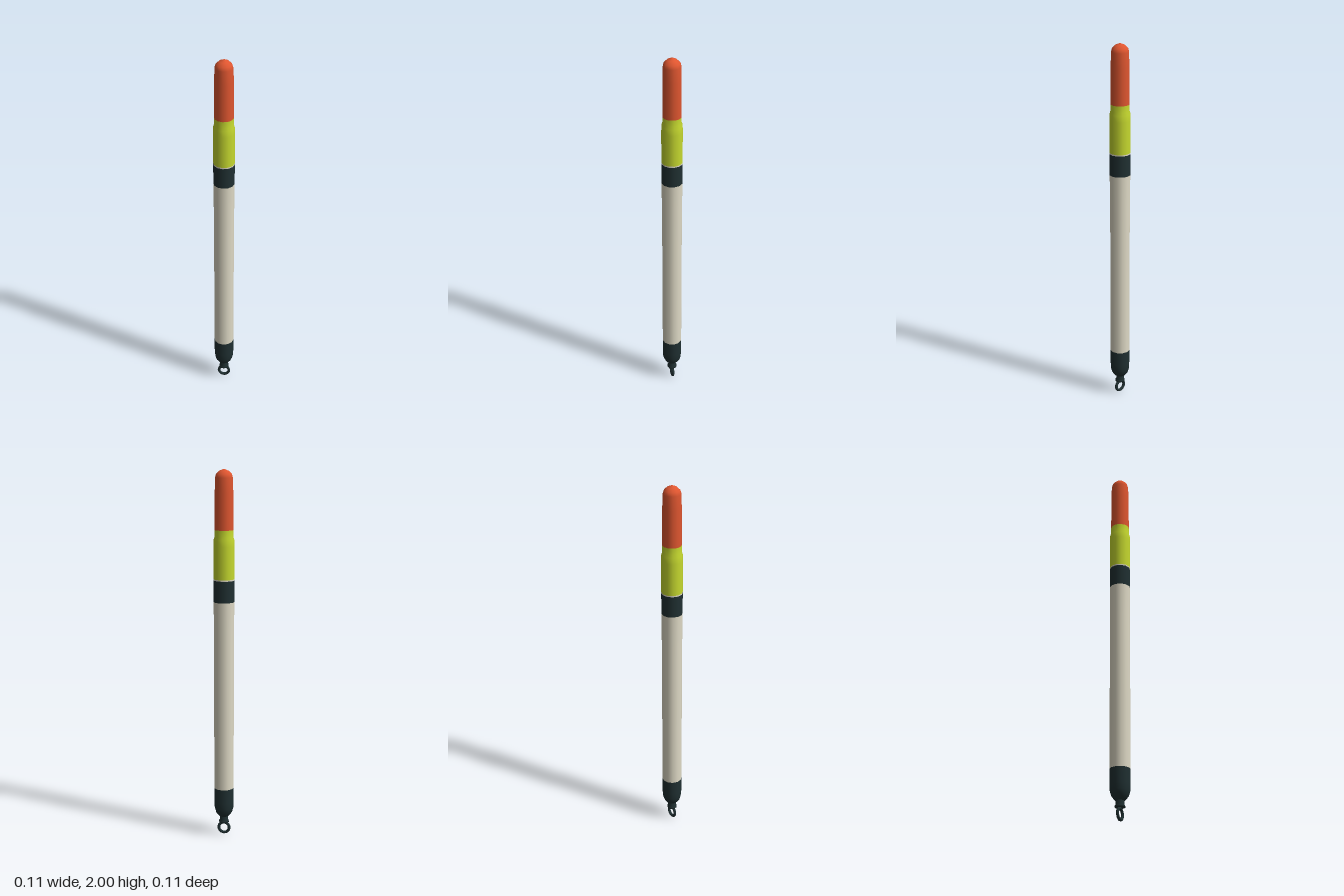
import * as THREE from 'three';

const SIDES = 12;

const material = (name, color) => {
  const m = new THREE.MeshStandardMaterial({ color });
  m.name = name;
  return m;
};

export function createModel() {
  const model = new THREE.Group();
  model.name = 'fishingFloat';

  const orange = material('orange', 0xdf5630);
  const yellow = material('yellow', 0xc6d92f);
  const dark = material('darkGreen', 0x203032);
  const cream = material('cream', 0xdfdac6);

  const add = (name, geometry, mat) => {
    const mesh = new THREE.Mesh(geometry, mat);
    mesh.name = name;
    model.add(mesh);
    return mesh;
  };

  // Turned sections, each profile listed upwards as [radius, height]
  const turned = (name, mat, profile) => add(name,
    new THREE.LatheGeometry(profile.map(([r, y]) => new THREE.Vector2(r, y)), SIDES), mat);

  turned('neck', dark, [[0, 0.07], [0.027, 0.07], [0.027, 0.078], [0.022, 0.084], [0.022, 0.115]]);
  turned('bottomCap', dark, [[0.02, 0.103], [0.032, 0.112], [0.045, 0.13], [0.052, 0.155], [0.054, 0.19], [0.054, 0.27]]);
  turned('body', cream, [[0.054, 0.27], [0.054, 1.1], [0.056, 1.305]]);
  turned('darkBand', dark, [[0.056, 1.305], [0.056, 1.42]]);
  turned('thinBand', cream, [[0.056, 1.42], [0.056, 1.427]]);
  turned('yellowBand', yellow, [[0.056, 1.427], [0.056, 1.6], [0.055, 1.635], [0.05, 1.65], [0.05, 1.685]]);
  turned('tip', orange, [[0.05, 1.685], [0.049, 1.88], [0.047, 1.955], [0.042, 1.974], [0.025, 1.99], [0, 2]]);

  // Line eyelet, facing the front
  add('eyelet', new THREE.TorusGeometry(0.029, 0.008, 8, 24), dark).position.y = 0.037;

  return model;
}
